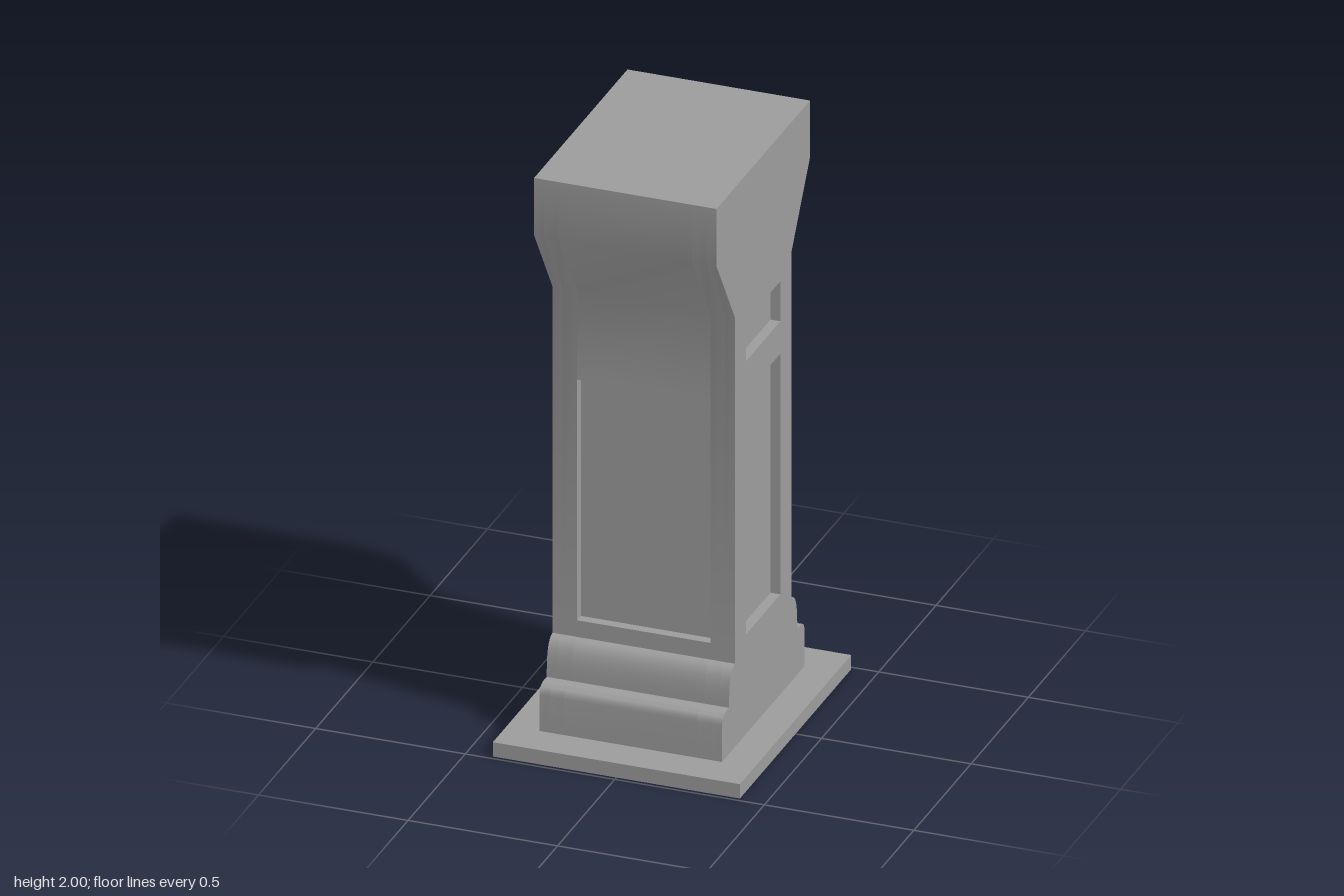
import * as THREE from 'three';
import { toCreasedNormals } from 'three/addons/utils/BufferGeometryUtils.js';

const HALF_X = 0.305;        // half width of the pedestal body
const PANEL_X = 0.223;       // half width of front and back panels
const PANEL_Z = 0.15;        // half width of side panels
const DEPTH = 0.033;         // depth of the sunk panels
const SHAFT_Z = 0.247;
const LOWER = [0.398, 1.237]; // panel heights
const UPPER = [1.35, 1.49];

// One half of the moulded profile, bottom to top, with optional sunk panels
function halfProfile(panels) {
  const base = new THREE.Path();
  base.moveTo(0.36, 0.05);
  base.lineTo(0.36, 0.175);
  base.bezierCurveTo(0.36, 0.2, 0.345, 0.21, 0.32, 0.21);
  base.lineTo(0.298, 0.21);
  base.bezierCurveTo(0.298, 0.29, 0.287, 0.337, SHAFT_Z, 0.34);
  const points = base.getPoints(6);
  const add = (z, y) => points.push(new THREE.Vector2(z, y));
  for (const [y0, y1] of panels) {
    add(SHAFT_Z, y0);
    add(SHAFT_Z - DEPTH, y0);
    add(SHAFT_Z - DEPTH, y1);
    add(SHAFT_Z, y1);
  }
  add(SHAFT_Z, 1.547);
  add(0.408, 1.8);
  add(0.408, 2);
  return points;
}

// Full outline: front half upwards, back half downwards
function outline(frontPanels = [], backPanels = []) {
  const back = halfProfile(backPanels).map((p) => new THREE.Vector2(-p.x, p.y)).reverse();
  return new THREE.Shape([...halfProfile(frontPanels), ...back]);
}

export function createModel() {
  const group = new THREE.Group();
  const material = new THREE.MeshStandardMaterial({ color: 0x9c9c9c });

  function addMesh(name, geometry) {
    const mesh = new THREE.Mesh(geometry, material);
    mesh.name = name;
    group.add(mesh);
    return mesh;
  }

  // Extrudes an outline across x between x0 and x1
  function addSlice(name, shape, x0, x1) {
    const geometry = new THREE.ExtrudeGeometry(shape, { depth: x1 - x0, bevelEnabled: false });
    geometry.rotateY(-Math.PI / 2).translate(x1, 0, 0);
    addMesh(name, toCreasedNormals(geometry, 0.6));
  }

  // Floor plate
  addMesh('basePlate', new THREE.BoxGeometry(0.826, 0.05, 0.972)).position.y = 0.025;

  // Core carrying the sunk front and back panels
  addSlice('panelCore', outline([LOWER], [LOWER, UPPER]), -PANEL_X, PANEL_X);

  // Solid stiles, then outer faces with panel openings
  const face = outline();
  for (const [y0, y1] of [LOWER, UPPER]) {
    face.holes.push(new THREE.Path([
      new THREE.Vector2(-PANEL_Z, y0),
      new THREE.Vector2(-PANEL_Z, y1),
      new THREE.Vector2(PANEL_Z, y1),
      new THREE.Vector2(PANEL_Z, y0),
    ]));
  }
  const inner = HALF_X - DEPTH;
  addSlice('leftStile', outline(), PANEL_X, inner);
  addSlice('rightStile', outline(), -inner, -PANEL_X);
  addSlice('leftFace', face, inner, HALF_X);
  addSlice('rightFace', face, -HALF_X, -inner);

  return group;
}
